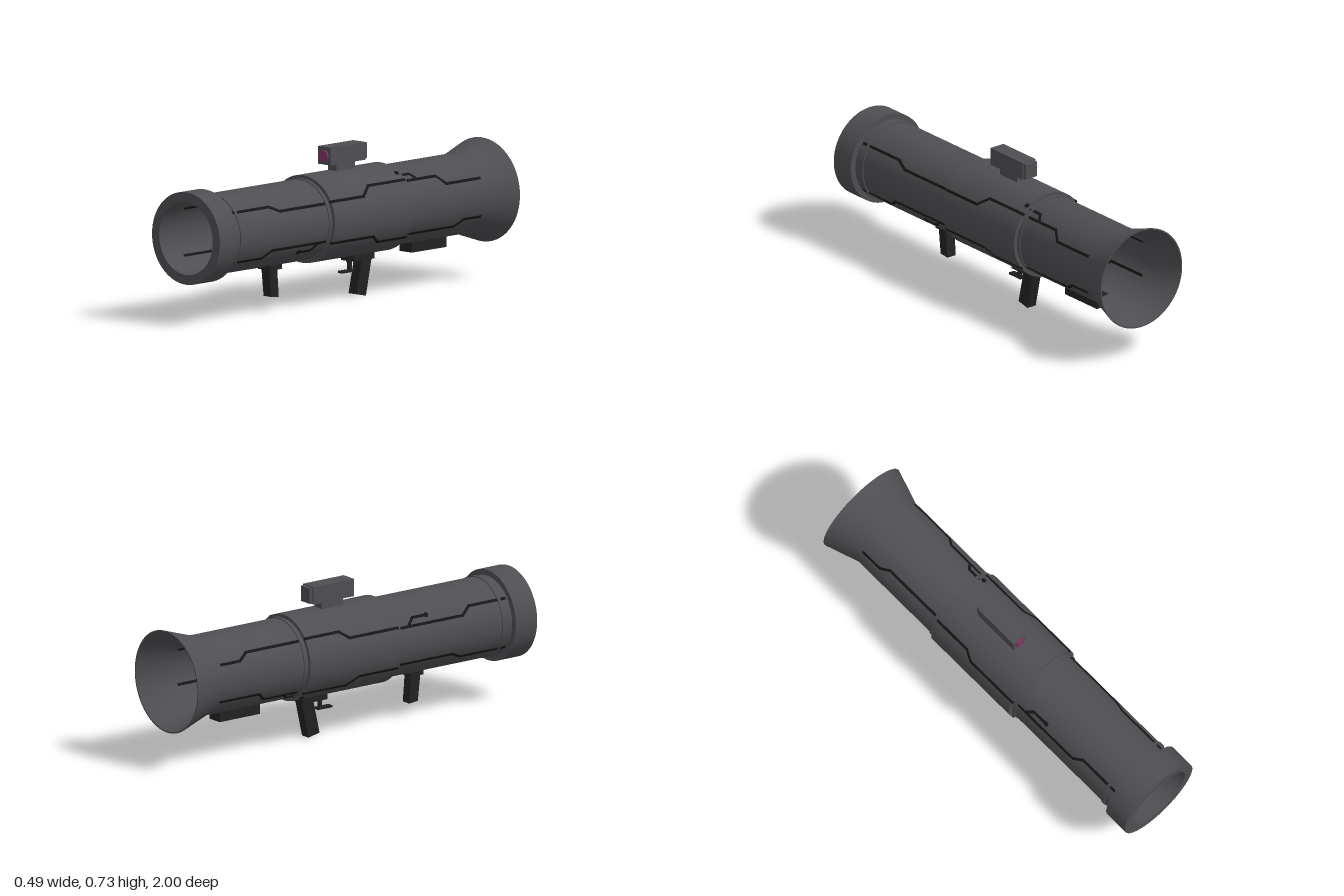
import * as THREE from 'three';
import { toCreasedNormals, mergeGeometries } from 'three/addons/utils/BufferGeometryUtils.js';

const AXIS_Y = 0.407;

function mat(name, color) {
  const m = new THREE.MeshStandardMaterial({ color });
  m.name = name;
  return m;
}

export function createModel() {
  const group = new THREE.Group();
  const grey = mat('gunmetal grey', 0x4f4e52);
  const dark = mat('grip black', 0x222222);
  const black = mat('groove black', 0x161616);
  const purple = mat('lens purple', 0x803463);

  const add = (name, geometry, material) => {
    const mesh = new THREE.Mesh(geometry, material);
    mesh.name = name;
    group.add(mesh);
    return mesh;
  };

  // Closed ring profile [radius, z] turned about the tube axis
  const turned = (name, profile) => {
    const pts = [...profile, profile[0]].map(([r, z]) => new THREE.Vector2(r, z));
    const g = new THREE.LatheGeometry(pts, 96).rotateX(Math.PI / 2);
    add(name, toCreasedNormals(g, 0.35), grey).position.y = AXIS_Y;
  };
  const ring = (name, z0, z1, rOut, rIn) =>
    turned(name, [[rIn, z0], [rOut, z0], [rOut, z1], [rIn, z1]]);

  // Box given by its limits
  const box = (name, x, y0, y1, z0, z1, material) =>
    add(name, new THREE.BoxGeometry(2 * x, y1 - y0, z1 - z0), material)
      .position.set(0, (y0 + y1) / 2, (z0 + z1) / 2);

  // Side outline [z, y] extruded across x
  const slab = (name, outline, halfWidth, material) => {
    const shape = new THREE.Shape(outline.map(([z, y]) => new THREE.Vector2(-z, y)));
    const g = new THREE.ExtrudeGeometry(shape, { depth: 2 * halfWidth, bevelEnabled: false });
    g.translate(0, 0, -halfWidth).rotateY(Math.PI / 2);
    add(name, g, material);
  };

  // Main tube with flared exhaust
  turned('barrelTube', [[0.238, -1], [0.245, -1], [0.19, -0.83], [0.19, 0.9], [0.18, 0.9], [0.18, -0.83]]);
  ring('muzzleCollar', 0.875, 1, 0.218, 0.172);
  ring('centreSleeve', -0.315, 0.21, 0.207, 0.185);
  for (const z of [0.825, 0.226, -0.333]) ring('tubeRidge', z - 0.008, z + 0.008, 0.195, 0.185);

  // Panel grooves: paths of [z, y] on the +x side, at a tube radius
  const grooves = [
    [0.19, [[0.86, 0.525], [0.6, 0.525], [0.54, 0.5], [0.24, 0.5]]],
    [0.207, [[0.21, 0.508], [-0.01, 0.508], [-0.07, 0.548], [-0.315, 0.548]]],
    [0.19, [[-0.34, 0.538], [-0.54, 0.538], [-0.585, 0.5], [-0.81, 0.5]]],
    [0.19, [[-0.32, 0.562], [-0.39, 0.562], [-0.415, 0.54]]],
    [0.19, [[0.86, 0.29], [0.65, 0.29], [0.6, 0.323], [0.23, 0.323]]],
    [0.207, [[0.21, 0.313], [-0.07, 0.313], [-0.12, 0.28], [-0.315, 0.28]]],
    [0.19, [[-0.33, 0.29], [-0.65, 0.29], [-0.7, 0.32], [-0.81, 0.32]]],
    [0.19, [[0.4, 0.29], [0.32, 0.29], [0.285, 0.32]]],
  ];
  const pieces = [];
  const onTube = (r, [z, y]) => {
    const a = Math.asin((y - AXIS_Y) / r);
    return new THREE.Vector3(r * Math.cos(a), r * Math.sin(a), z);
  };
  for (const [radius, path] of grooves) {
    for (let i = 0; i + 1 < path.length; i++) {
      const a = onTube(radius, path[i]), b = onTube(radius, path[i + 1]);
      const mid = a.clone().add(b).multiplyScalar(0.5);
      const along = b.clone().sub(a);
      const length = along.length();
      along.normalize();
      const out = new THREE.Vector3(mid.x, mid.y, 0).normalize();
      const across = new THREE.Vector3().crossVectors(along, out).normalize();
      out.crossVectors(across, along);
      const depth = radius < 0.2 ? 0.015 : 0.008;
      const g = new THREE.BoxGeometry(depth, 0.013, length + 0.008);
      g.translate(0.003 - depth / 2, 0, 0);
      g.applyMatrix4(new THREE.Matrix4().makeBasis(out, across.negate(), along.negate()).setPosition(mid));
      // flip the basis if it became left-handed
      pieces.push(g);
    }
  }
  // Round ends of the short branches
  for (const [r, z, y] of [[0.19, 0.4, 0.29], [0.207, -0.3, 0.578]]) {
    const p = onTube(r, [z, y]);
    const g = new THREE.CylinderGeometry(0.012, 0.012, 0.006, 16).rotateZ(Math.PI / 2);
    pieces.push(g.rotateZ(Math.atan2(p.y, p.x)).translate(p.x, p.y, p.z));
  }
  const grooveGeometry = mergeGeometries(pieces);
  for (const turn of [0, Math.PI]) {
    const mesh = add('panelGrooves', grooveGeometry, black);
    mesh.position.y = AXIS_Y;
    mesh.rotation.z = turn;
  }

  // Sight on its stem
  box('sightStem', 0.027, 0.6, 0.65, -0.115, 0.01, grey);
  box('sightBody', 0.039, 0.647, 0.731, -0.172, 0.065, grey);
  box('sightRearCap', 0.033, 0.652, 0.726, -0.19, -0.172, grey);
  add('sightLens', new THREE.CylinderGeometry(0.028, 0.028, 0.009, 40).rotateX(Math.PI / 2), purple)
    .position.set(0, 0.688, 0.0695);

  // Front grip
  box('frontGripMount', 0.04, 0.198, 0.23, 0.393, 0.47, dark);
  slab('frontGrip', [[0.464, 0.205], [0.449, 0.07], [0.399, 0.065], [0.41, 0.205]], 0.025, dark);

  // Rear grip and trigger
  box('rearGripMount', 0.04, 0.175, 0.215, -0.232, -0.09, dark);
  slab('rearGrip', [[-0.165, 0.19], [-0.125, 0.016], [-0.19, 0.002], [-0.232, 0.19]], 0.025, dark);
  slab('trigger', [[-0.088, 0.18], [-0.1, 0.16], [-0.1, 0.13], [-0.112, 0.13], [-0.112, 0.18]], 0.01, dark);
  box('triggerGuard', 0.015, 0.122, 0.132, -0.125, -0.043, dark);

  // Rear support block
  box('rearBlock', 0.04, 0.172, 0.23, -0.72, -0.485, dark);

  return group;
}
